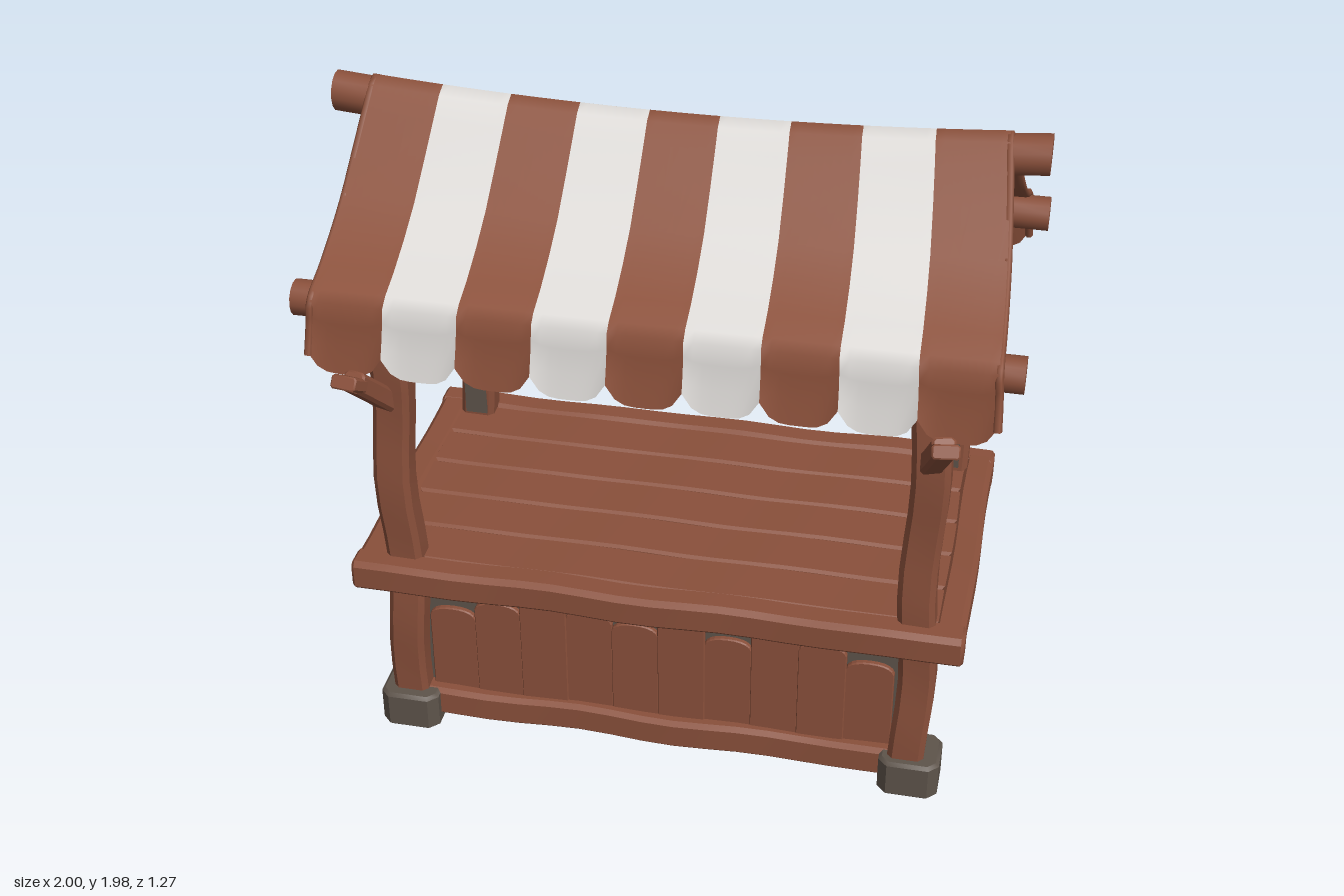
import * as THREE from 'three';
import { toCreasedNormals } from 'three/addons/utils/BufferGeometryUtils.js';

const paint = (name, color, side = THREE.FrontSide) => {
  const m = new THREE.MeshStandardMaterial({ color, side });
  m.name = name;
  return m;
};

export function createModel() {
  const wood = paint('wood brown', 0x8a503b);
  const cloth = paint('cloth brown', 0x8c513b, THREE.DoubleSide);
  const white = paint('cloth white', 0xdedbd8, THREE.DoubleSide);
  const stone = paint('stone grey', 0x5e544b);
  const shade = paint('underside dark', 0x33332e);
  const model = new THREE.Group();
  const V = (x, y, z) => new THREE.Vector3(x, y, z);

  function add(name, geometry, material) {
    const mesh = new THREE.Mesh(geometry, material);
    mesh.name = name;
    model.add(mesh);
    return mesh;
  }

  // Chamfered, slightly wavy timber running from a to b
  function timber(name, a, b, w, h, wave = 0.004, material = wood) {
    const c = Math.min(w, h) * 0.17, X = w / 2, Y = h / 2, L = a.distanceTo(b);
    const bevel = Math.min(0.01, c * 0.6, L * 0.2);
    const outline = [[X, -Y + c], [X, Y - c], [X - c, Y], [c - X, Y], [-X, Y - c], [-X, c - Y], [c - X, -Y], [X - c, -Y]];
    const shape = new THREE.Shape(outline.map(p => new THREE.Vector2(...p)));
    const geo = new THREE.ExtrudeGeometry(shape, {
      depth: L - 2 * bevel, steps: Math.max(1, Math.round(L / 0.1)),
      bevelThickness: bevel, bevelSize: bevel, bevelOffset: -bevel, bevelSegments: 1,
    });
    geo.translate(0, 0, bevel);
    const p = geo.attributes.position, k = a.x * 5 + a.z * 3;
    for (let i = 0; i < p.count; i++) {
      const z = p.getZ(i);
      p.setX(i, p.getX(i) + wave * Math.sin(z * 9 + k));
      p.setY(i, p.getY(i) + wave * Math.sin(z * 13 + k * 2) * 0.7);
    }
    geo.computeVertexNormals();
    const mesh = add(name, toCreasedNormals(geo, 0.6), material);
    mesh.position.copy(a);
    mesh.lookAt(b);
    return mesh;
  }

  function plate(name, material, w, h, d, x, y, z) {
    return add(name, new THREE.BoxGeometry(w, h, d).translate(x, y, z), material);
  }

  // Round log along x that sags in the middle
  function log(name, y, z, r, sag) {
    const geo = new THREE.CylinderGeometry(r, r, 2, 14, 16).rotateZ(Math.PI / 2);
    const p = geo.attributes.position;
    for (let i = 0; i < p.count; i++) p.setY(i, p.getY(i) - sag * (1 - p.getX(i) ** 2));
    geo.computeVertexNormals();
    add(name, toCreasedNormals(geo, 0.7).translate(0, y, z), wood);
  }

  // Posts, feet, branches and rafters at each corner
  for (const sx of [-1, 1]) {
    for (const sz of [-1, 1]) {
      const x = 0.765 * sx, z = 0.405 * sz;
      timber('foot', V(sx * 0.77, 0, sz * 0.4), V(sx * 0.77, 0.125, sz * 0.4), 0.18, 0.165, 0, stone);
      timber('post', V(x, 0.1, z), V(x, 1.52, z), 0.108, 0.092, 0.009);
      timber('branch', V(x, 1.15, z), V(sx * 0.81, 1.325, sz * 0.575), 0.065, 0.06, 0.003);
      timber('branchTip', V(sx * 0.81, 1.3, sz * 0.555), V(sx * 0.82, 1.345, sz * 0.622), 0.075, 0.04, 0);
      timber('rafter', V(x, 1.47, sz * 0.42), V(x, 1.885, 0), 0.085, 0.08, 0.004);
      // Worn patches on the inner post faces and beside the feet
      plate('wornPatch', stone, 0.07, 0.17, 0.006, x, 0.72, sz * 0.354);
      plate('footStain', stone, 0.006, 0.08, 0.06, sx * 0.802, 0.085, sz * 0.3);
    }
    // Side panel and its bottom beam
    timber('sidePanel', V(sx * 0.765, 0.33, -0.37), V(sx * 0.765, 0.33, 0.37), 0.06, 0.42, 0);
    timber('sideBeam', V(sx * 0.76, 0.075, -0.37), V(sx * 0.76, 0.075, 0.37), 0.08, 0.1, 0.002);
  }

  // Front and back panels: grey backing with uneven planks over it
  const tops = [0.42, 0.46, 0.505, 0.47, 0.45, 0.5, 0.44, 0.515, 0.47, 0.42];
  for (const sz of [-1, 1]) {
    plate('panelBacking', stone, 1.44, 0.42, 0.03, 0, 0.32, sz * 0.365);
    tops.forEach((top, i) => {
      const x = (i - 4.5) * 0.141, h = top - 0.1;
      const shape = new THREE.Shape();
      shape.moveTo(-0.069, 0).lineTo(0.069, 0).lineTo(0.069, h - 0.03);
      shape.quadraticCurveTo(0.06, h, 0, h).quadraticCurveTo(-0.06, h, -0.069, h - 0.03);
      const geo = new THREE.ExtrudeGeometry(shape, { depth: 0.012, bevelThickness: 0.004, bevelSize: 0.003, bevelSegments: 1, curveSegments: 5 });
      geo.translate(x, 0.1, -0.006 + (i % 3) * 0.002);
      add('panelPlank', geo.translate(0, 0, sz * 0.387), wood);
    });
    timber('baseBeam', V(-0.74, 0.075, sz * 0.39), V(0.74, 0.075, sz * 0.39), 0.08, 0.1, 0.005);
  }
  plate('floor', wood, 1.5, 0.03, 0.76, 0, 0.045, 0);

  // Counter top: rails around lengthwise planks
  for (const s of [-1, 1]) {
    timber('counterRail', V(-0.905, 0.58, s * 0.455), V(0.905, 0.58, s * 0.455), 0.09, 0.1, 0.004);
    timber('counterEnd', V(s * 0.86, 0.58, -0.45), V(s * 0.86, 0.58, 0.45), 0.09, 0.098, 0.003);
  }
  for (let i = 0; i < 5; i++) {
    const z = (i - 2) * 0.168;
    timber('counterPlank', V(-0.83, 0.597, z), V(0.83, 0.597, z), 0.165, 0.05, 0.002);
  }
  plate('counterUnderside', shade, 1.66, 0.008, 0.84, 0, 0.56, 0);

  // Logs that carry the canopy
  log('ridgeLog', 1.915, 0, 0.058, 0.045);
  for (const s of [-1, 1]) log('eaveLog', 1.5, s * 0.455, 0.051, 0);

  // Canopy half profile as [z, y], ridge to eave; the valance hangs below it
  const roof = [[0, 1.975], [0.035, 1.957], [0.08, 1.9], [0.15, 1.815], [0.24, 1.715], [0.33, 1.645], [0.42, 1.59], [0.495, 1.556], [0.522, 1.53]];
  const drop = [[0.525, 0.3], [0.535, 0.65], [0.55, 1]];
  const N = 9, COLS = 8;
  const roofIndex = [], fullIndex = [];
  for (let k = 1 - roof.length; k < roof.length; k++) roofIndex.push(k);
  const last = roof.length + drop.length - 1;
  for (let k = -last; k <= last; k++) fullIndex.push(k);

  // Point on the cloth: u across the width in stripes (0..9), k along the profile
  function clothPoint(u, k, inset = 0) {
    const j = Math.abs(k), s = Math.sign(k);
    let z, y;
    if (j < roof.length) [z, y] = roof[j];
    else {
      const [dz, f] = drop[j - roof.length];
      const hem = 1.325 + 0.06 * Math.abs(2 * (u % 1) - 1) ** 4;
      z = dz;
      y = 1.53 + (hem - 1.53) * f;
    }
    const half = 0.945 - 0.06 * Math.sqrt(THREE.MathUtils.clamp((y - 1.33) / 0.65, 0, 1)) ** 3;
    const x = (u / N * 2 - 1) * half;
    const sag = 0.035 * (1 - (x / half) ** 2) * THREE.MathUtils.clamp((y - 1.53) / 0.44, 0, 1);
    return V(x, y - sag - inset, s * (z - inset * 0.3 * Math.min(1, j)));
  }

  function clothGrid(u0, u1, cols, rows, inset) {
    const pos = [], idx = [], n = rows.length;
    for (let i = 0; i <= cols; i++) {
      // stay inside the stripe so both hem ends rise to the notch
      const u = THREE.MathUtils.clamp(u0 + (u1 - u0) * i / cols, u0 + 1e-5, u1 - 1e-5);
      for (const k of rows) pos.push(...clothPoint(u, k, inset).toArray());
    }
    for (let i = 0; i < cols; i++) for (let j = 0; j < n - 1; j++) {
      const a = i * n + j, b = a + n;
      idx.push(a, a + 1, b, a + 1, b + 1, b);
    }
    const geo = new THREE.BufferGeometry();
    geo.setAttribute('position', new THREE.Float32BufferAttribute(pos, 3));
    geo.setIndex(idx);
    geo.computeVertexNormals();
    return geo;
  }

  for (let i = 0; i < N; i++) add('canopyStripe', clothGrid(i, i + 1, COLS, fullIndex, 0), i % 2 ? white : cloth);
  add('canopyLining', clothGrid(0, N, 18, roofIndex, 0.022), cloth);

  // Rolled hems close the two ends of the canopy
  for (const u of [1e-5, N - 1e-5]) {
    const path = new THREE.CatmullRomCurve3(fullIndex.map(k => clothPoint(u, k, 0.011)));
    add('canopyHem', new THREE.TubeGeometry(path, 60, 0.012, 6), cloth);
  }

  // Hanging sign at the back
  for (const [y, w] of [[1.105, 0.37], [1.16, 0.385], [1.22, 0.375]]) {
    timber('signBoard', V(-0.52 - w / 2, y, -0.475), V(-0.52 + w / 2, y, -0.475), 0.032, y === 1.16 ? 0.075 : 0.1, 0.003);
  }
  for (const x of [-0.64, -0.43]) {
    timber('signStrap', V(x, 1.03, -0.48), V(x, 1.3, -0.48), 0.032, 0.052, 0.003);
    timber('signHanger', V(x, 1.28, -0.475), V(x, 1.47, -0.46), 0.018, 0.018, 0.002);
  }
  return model;
}
